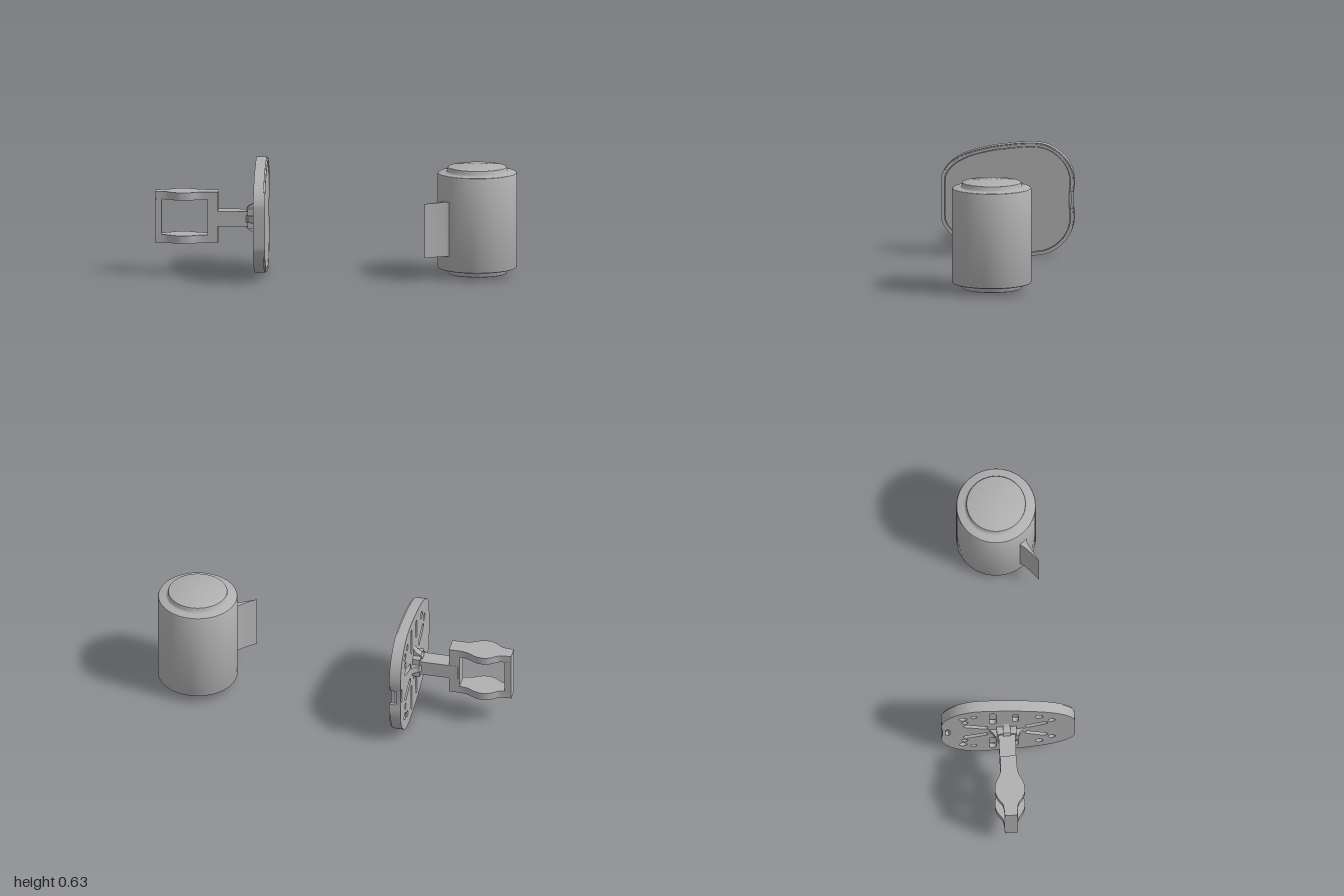
import * as THREE from 'three';
import { toCreasedNormals } from 'three/addons/utils/BufferGeometryUtils.js';

const grey = new THREE.MeshStandardMaterial({ color: 0xb0b0b0 });
grey.name = 'grey';
const V = (x, y) => new THREE.Vector2(x, y);
const MID = 0.315; // height of the bracket axis

function add(parent, name, geometry, crease = 0.6) {
  const mesh = new THREE.Mesh(toCreasedNormals(geometry, crease), grey);
  mesh.name = name;
  parent.add(mesh);
  return mesh;
}

function box(parent, name, x0, x1, y0, y1, z0, z1) {
  const g = new THREE.BoxGeometry(x1 - x0, y1 - y0, z1 - z0);
  g.translate((x0 + x1) / 2, (y0 + y1) / 2, (z0 + z1) / 2);
  return add(parent, name, g);
}

// Shape drawn in (-z, height above the axis), extruded from x0 to x1
function slab(shape, x0, x1) {
  const g = new THREE.ExtrudeGeometry(shape, { depth: x1 - x0, bevelEnabled: false, curveSegments: 10 });
  return g.rotateY(Math.PI / 2).translate(x0, MID, 0);
}

// Shape drawn in (x, -z), extruded from y0 to y1
function upright(shape, y0, y1) {
  const g = new THREE.ExtrudeGeometry(shape, { depth: y1 - y0, bevelEnabled: false, curveSegments: 16 });
  return g.rotateX(-Math.PI / 2).translate(0, y0, 0);
}

// Rounded slot; equal ends give a round hole
function slot(u0, v0, u1, v1, r) {
  const a = Math.atan2(v1 - v0, u1 - u0);
  const p = new THREE.Path();
  p.absarc(u1, v1, r, a - Math.PI / 2, a + Math.PI / 2, false);
  p.absarc(u0, v0, r, a + Math.PI / 2, a + Math.PI * 1.5, false);
  p.closePath();
  return p;
}

// Pad outline from the notch over the top, round the front edge and back
function outlinePoints() {
  const half = [
    [0.365, 0.046], [0.37, 0.1], [0.36, 0.16], [0.33, 0.22], [0.28, 0.27], [0.22, 0.303],
    [0.15, 0.315], [0.06, 0.311], [0, 0.304], [-0.09, 0.291], [-0.21, 0.26], [-0.29, 0.22],
    [-0.335, 0.18], [-0.36, 0.14], [-0.368, 0.09],
  ].map(([u, v]) => V(u, v));
  const mirrored = half.map((p) => V(p.x, -p.y)).reverse();
  return new THREE.SplineCurve([...half, ...mirrored]).getPoints(100);
}

function inset(points, d) {
  return points.map((p, i) => {
    const a = points[Math.max(i - 1, 0)], b = points[Math.min(i + 1, points.length - 1)];
    const t = b.clone().sub(a).normalize();
    return V(p.x - t.y * d, p.y + t.x * d);
  });
}

function buildCanister() {
  const group = new THREE.Group();
  group.name = 'canister';
  const lower = [
    [0, 0.012], [0.157, 0.012], [0.162, 0.014], [0.165, 0.019], [0.165, 0.032], [0.169, 0.039],
    [0.177, 0.043], [0.211, 0.043], [0.217, 0.046], [0.22, 0.052],
  ];
  const upper = lower.map(([r, y]) => [r, 0.62 - y]).reverse();
  const profile = [...lower, ...upper].map(([r, y]) => V(r, y));
  add(group, 'canisterBody', new THREE.LatheGeometry(profile, 72)).position.set(0.78, 0, -0.01);

  // Tapered fin running off the side of the body
  const fin = new THREE.Shape();
  fin.moveTo(0.495, -0.215);
  fin.lineTo(0.6, -0.157);
  fin.quadraticCurveTo(0.625, -0.148, 0.66, -0.15);
  fin.lineTo(0.66, -0.08);
  fin.lineTo(0.602, -0.105);
  fin.quadraticCurveTo(0.578, -0.15, 0.495, -0.215);
  add(group, 'canisterFin', upright(fin, 0.13, 0.433));
  return group;
}

function buildPad() {
  const group = new THREE.Group();
  group.name = 'pad';
  const outer = outlinePoints();
  const inner = inset(outer, 0.02);

  // Back plate pierced by slots and round holes
  const back = new THREE.Shape(outer);
  for (const s of [1, -1]) {
    back.holes.push(
      slot(0.085, s * 0.13, 0.085, s * 0.25, 0.019),
      slot(-0.04, s * 0.15, -0.04, s * 0.23, 0.017),
      slot(0.13, s * 0.05, 0.23, s * 0.085, 0.018),
      slot(-0.11, s * 0.05, -0.2, s * 0.09, 0.018),
      slot(0.25, s * 0.2, 0.25, s * 0.2, 0.022),
      slot(0.19, s * 0.225, 0.19, s * 0.225, 0.018),
      slot(0.24, s * 0.14, 0.24, s * 0.14, 0.018),
      slot(-0.17, s * 0.19, -0.17, s * 0.19, 0.022),
      slot(-0.24, s * 0.13, -0.24, s * 0.13, 0.02),
    );
  }
  back.holes.push(slot(0.335, -0.03, 0.335, 0.03, 0.013));
  add(group, 'padBackPlate', slab(back, -0.445, -0.42));

  // Rim, left open at the rear notch, with a slim chamfered front edge
  const rim = (edge) => new THREE.Shape([...edge, ...inner.slice().reverse()]);
  add(group, 'padRim', slab(rim(outer), -0.42, -0.388));
  add(group, 'padRimLip', slab(rim(inset(outer, 0.006)), -0.388, -0.38));

  // Smooth face plate seated inside the rim
  add(group, 'padFace', slab(new THREE.Shape(inset(outer, 0.023)), -0.41, -0.385));
  return group;
}

function buildBracket() {
  const group = new THREE.Group();
  group.name = 'bracket';
  const zc = -0.01;
  box(group, 'stem', -0.7, -0.44, MID - 0.045, MID + 0.04, zc - 0.046, zc + 0.046);
  box(group, 'stemCollar', -0.488, -0.44, MID - 0.057, MID + 0.057, zc - 0.055, zc + 0.055);

  // Four curved ribs bracing the stem against the back plate
  const rib = new THREE.Shape();
  rib.moveTo(-0.495, 0);
  rib.lineTo(-0.44, 0);
  rib.lineTo(-0.44, 0.115);
  rib.quadraticCurveTo(-0.452, 0.075, -0.485, 0.066);
  rib.lineTo(-0.495, 0.05);
  for (let i = 0; i < 4; i++) {
    const g = new THREE.ExtrudeGeometry(rib, { depth: 0.04, bevelEnabled: false });
    g.translate(0, 0, -0.02).rotateX((i * Math.PI) / 2);
    add(group, 'stemRib', g).position.set(0, MID, zc);
  }

  // Top and bottom frame bars, swelling in width near the middle
  const edge = [
    [-1, 0.035], [-0.935, 0.042], [-0.9, 0.066], [-0.87, 0.08], [-0.84, 0.083], [-0.805, 0.076],
    [-0.76, 0.054], [-0.72, 0.046], [-0.65, 0.045],
  ].map(([x, w]) => V(x, w));
  const side = new THREE.SplineCurve(edge).getPoints(40);
  const bar = new THREE.Shape([
    ...side.map((p) => V(p.x, -p.y - zc)),
    ...side.slice().reverse().map((p) => V(p.x, p.y - zc)),
  ]);
  add(group, 'frameTopBar', upright(bar, 0.42, 0.463));
  add(group, 'frameBottomBar', upright(bar, 0.178, 0.222));
  box(group, 'frameOuterPost', -1, -0.962, 0.22, 0.422, zc - 0.037, zc + 0.037);
  box(group, 'frameInnerPost', -0.71, -0.65, 0.22, 0.422, zc - 0.045, zc + 0.045);
  return group;
}

export function createModel() {
  const model = new THREE.Group();
  model.name = 'canisterAndPad';
  model.add(buildCanister(), buildPad(), buildBracket());
  return model;
}
